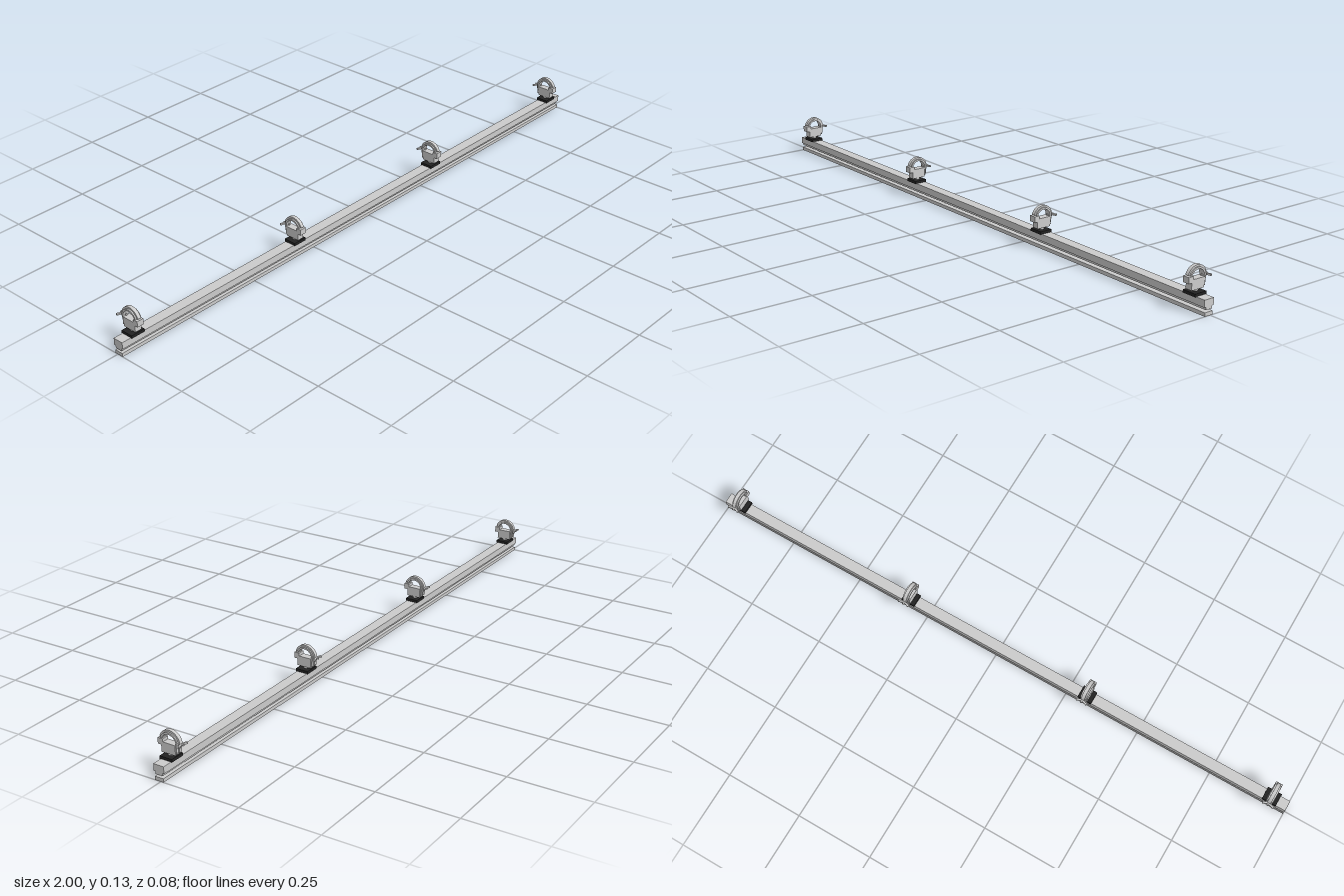
import * as THREE from 'three';

const grey = new THREE.MeshStandardMaterial({ color: 0xcccccc });
const dark = new THREE.MeshStandardMaterial({ color: 0x222222 });
const AXIS = 0.005; // z of the rail's centre line

function add(parent, name, geometry, material = grey) {
  const mesh = new THREE.Mesh(geometry, material);
  mesh.name = name;
  parent.add(mesh);
  return mesh;
}

function box(parent, name, w, y0, y1, z0, z1, material) {
  const mesh = add(parent, name, new THREE.BoxGeometry(w, y1 - y0, z1 - z0), material);
  mesh.position.set(0, (y0 + y1) / 2, (z0 + z1) / 2);
  return mesh;
}

// Extrudes a side profile (drawn with -z to the right, y up) across x.
function sideExtrude(shape, width) {
  const g = new THREE.ExtrudeGeometry(shape, { depth: width, bevelEnabled: false, curveSegments: 20 });
  return g.translate(0, 0, -width / 2).rotateY(Math.PI / 2);
}

function polygon(points) {
  return new THREE.Shape(points.map(([u, y]) => new THREE.Vector2(u, y)));
}

// Curved jaw: an arc over the pipe with a tail that tapers down the back.
function jawShape(outer, inner, tail) {
  const cu = -AXIS + 0.001, cy = 0.093, end = Math.PI * 0.9;
  const s = new THREE.Shape();
  s.absarc(cu, cy, outer, 0, end, false);
  s.absarc(cu, cy, inner, end, 0, true);
  s.lineTo(cu + inner, tail);
  s.lineTo(cu + inner + 0.003, tail);
  s.lineTo(cu + outer - 0.003, 0.079);
  s.closePath();
  return s;
}

function createClamp() {
  const clamp = new THREE.Group();
  clamp.name = 'hookClamp';
  box(clamp, 'mountingPlate', 0.046, 0.046, 0.055, -0.015, 0.026, dark);

  const stem = add(clamp, 'stem', new THREE.CylinderGeometry(0.008, 0.008, 0.01, 16));
  stem.position.set(0, 0.058, AXIS);

  // Lower jaw with the raised lip at the front
  add(clamp, 'clampBody', sideExtrude(polygon([
    [-0.028, 0.061], [0.018, 0.061], [0.018, 0.091], [-0.022, 0.091],
    [-0.022, 0.1], [-0.039, 0.1], [-0.039, 0.082], [-0.028, 0.082],
  ]), 0.022));

  // Hooked upper jaw: wide inner band and a narrow outer rib
  add(clamp, 'hookBand', sideExtrude(jawShape(0.029, 0.0235, 0.066), 0.02));
  add(clamp, 'hookRib', sideExtrude(jawShape(0.0345, 0.028, 0.07), 0.011));

  // Locking bolt with wings at the back
  const bolt = add(clamp, 'lockingBolt', new THREE.CylinderGeometry(0.0028, 0.0028, 0.023, 12).rotateX(Math.PI / 2));
  bolt.position.set(0, 0.0935, -0.0275);
  for (const side of [-1, 1]) {
    const wing = add(clamp, 'boltWing', new THREE.BoxGeometry(0.017, 0.005, 0.006));
    wing.position.set(side * 0.01, 0.0935, -0.034);
    wing.rotation.y = side * 0.35;
  }
  return clamp;
}

export function createModel() {
  const model = new THREE.Group();
  model.name = 'lightBar';

  // Stepped housing and the separate strip below it
  box(model, 'housing', 2, 0.026, 0.047, AXIS - 0.017, AXIS + 0.017);
  box(model, 'housingStep', 2, 0.018, 0.026, AXIS - 0.0115, AXIS + 0.0115);
  box(model, 'lensStrip', 2, 0, 0.011, AXIS - 0.014, AXIS + 0.014);

  // Four evenly spaced clamps
  for (let i = 0; i < 4; i++) {
    const clamp = createClamp();
    clamp.position.x = -0.946 + i * 0.6307;
    model.add(clamp);
  }
  return model;
}
